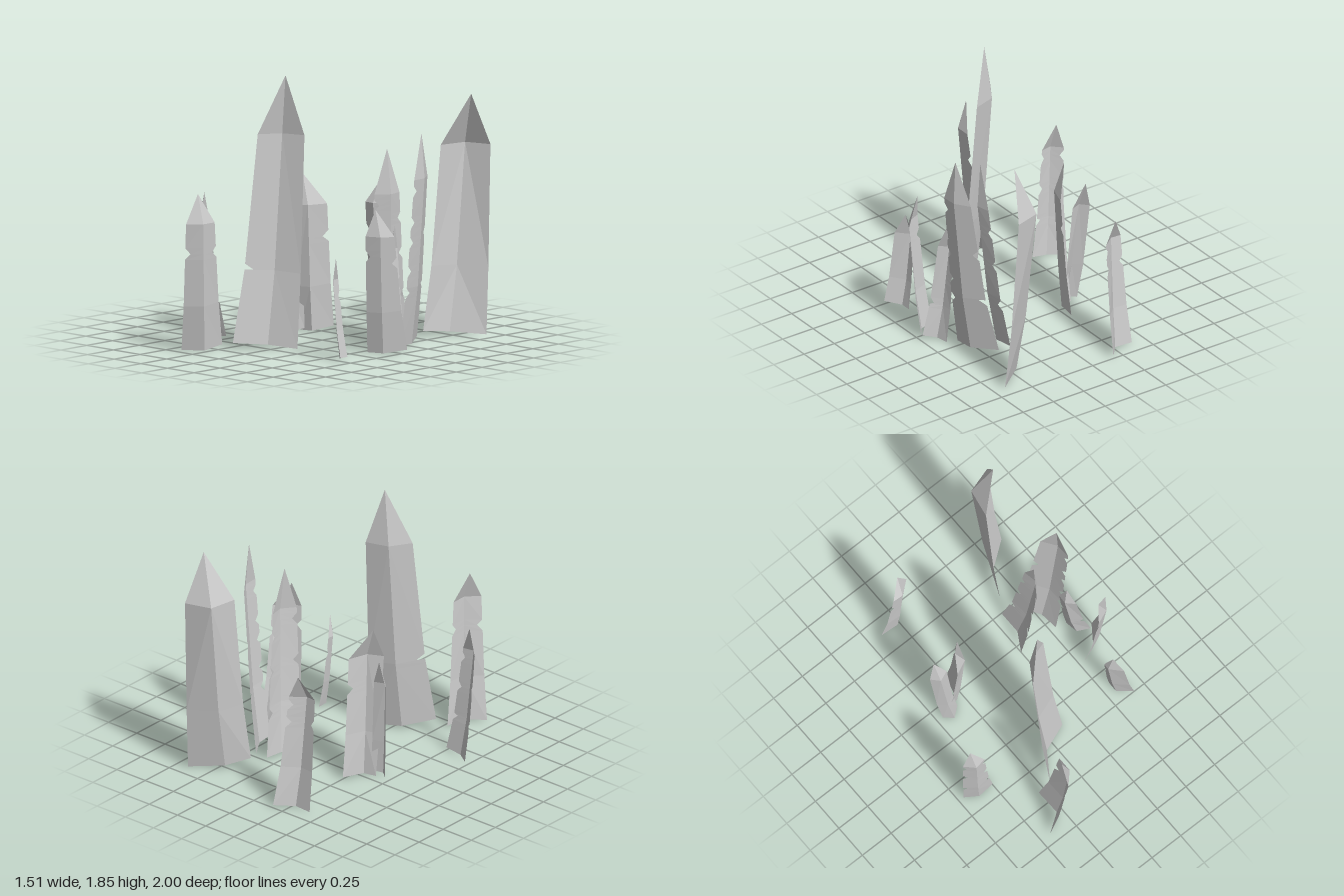
import * as THREE from 'three';

const material = new THREE.MeshStandardMaterial({ color: 0xcccccc, flatShading: true, side: THREE.DoubleSide });

// Blades lean fastest near the ground, then straighten above a soft bend
const BEND = 0.35;
const lean = (t) => (t < BEND ? (t / BEND) * 0.47 : 0.47 + ((t - BEND) / (1 - BEND)) * 0.53);

// One folded blade: two panels meeting at a spine, closed by a pointed tip.
// base and shoulder list [x, z] for one edge, the spine and the other edge.
// baseY gives the ground heights of those three; notches are heights of nicks in each edge.
function blade(name, { base, baseY = [0.01, 0.01, 0.03], shoulder, shoulderY, tip, notches = [[], []] }) {
  const at = (k, t) => {
    const f = lean(t);
    return new THREE.Vector3(
      THREE.MathUtils.lerp(base[k][0], shoulder[k][0], f),
      THREE.MathUtils.lerp(baseY[k], shoulderY, t),
      THREE.MathUtils.lerp(base[k][1], shoulder[k][1], f)
    );
  };
  const top = new THREE.Vector3(...tip);
  const positions = [];
  const tri = (a, b, c, flip) => (flip ? [a, c, b] : [a, b, c]).forEach((p) => positions.push(p.x, p.y, p.z));

  [0, 2].forEach((k, side) => {
    // rows of [height fraction, inset toward the spine]
    const rows = [[0, 0], [BEND, 0], [1, 0]];
    for (const y of notches[side]) {
      const t = y / shoulderY, d = 0.04 / shoulderY;
      rows.push([t - d, 0], [t, 0.3], [t + d, 0]);
    }
    rows.sort((a, b) => a[0] - b[0]);
    const edge = rows.map(([t, inset]) => at(k, t).lerp(at(1, t), inset));
    const spine = rows.map(([t]) => at(1, t));
    const flip = side === 1;
    for (let i = 0; i < rows.length - 1; i++) {
      tri(edge[i], spine[i], spine[i + 1], flip);
      tri(edge[i], spine[i + 1], edge[i + 1], flip);
    }
    tri(edge[edge.length - 1], spine[spine.length - 1], top, flip);
  });

  const geometry = new THREE.BufferGeometry();
  geometry.setAttribute('position', new THREE.Float32BufferAttribute(positions, 3));
  geometry.computeVertexNormals();
  const mesh = new THREE.Mesh(geometry, material);
  mesh.name = name;
  return mesh;
}

export function createModel() {
  const group = new THREE.Group();
  group.name = 'grassClump';
  group.add(
    // the two tall blades
    blade('tallFrontBlade', {
      base: [[-0.2, 0.66], [-0.065, 0.46], [0.135, 0.38]], baseY: [0.05, 0.03, 0.015],
      shoulder: [[-0.175, 0.445], [-0.085, 0.3], [0.075, 0.25]], shoulderY: 1.455,
      tip: [-0.035, 1.86, 0.32], notches: [[0.51], []],
    }),
    blade('tallBackBlade', {
      base: [[0.38, -0.585], [0.46, -0.76], [0.66, -0.91]], baseY: [0.045, 0.03, 0.015],
      shoulder: [[0.39, -0.745], [0.425, -0.945], [0.61, -1.0]], shoulderY: 1.3,
      tip: [0.555, 1.655, -0.87],
    }),
    // middle blades on the left side
    blade('leftBackBlade', {
      base: [[0.545, -0.19], [0.53, -0.32], [0.415, -0.49]],
      shoulder: [[0.665, -0.205], [0.66, -0.31], [0.59, -0.41]], shoulderY: 1.16,
      tip: [0.64, 1.47, -0.3], notches: [[0.37, 0.52, 0.72, 0.86, 1.08], [0.4, 0.76]],
    }),
    blade('leftInnerBlade', {
      base: [[0.25, -0.2], [0.325, -0.33], [0.32, -0.49]],
      shoulder: [[0.345, -0.15], [0.415, -0.24], [0.395, -0.34]], shoulderY: 1.03,
      tip: [0.385, 1.34, -0.23], notches: [[0.36, 0.65, 0.95], [0.3, 0.6, 0.85]],
    }),
    blade('leftOuterBlade', {
      base: [[0.54, 0.12], [0.65, 0.08], [0.745, -0.055]],
      shoulder: [[0.6, 0.2], [0.7, 0.16], [0.755, 0.08]], shoulderY: 0.82,
      tip: [0.64, 1.0, 0.145], notches: [[0.68], [0.63]],
    }),
    // short blades on the left side
    blade('leftShortBlade', {
      base: [[0.62, -0.17], [0.635, -0.08], [0.72, -0.03]],
      shoulder: [[0.55, -0.16], [0.545, -0.095], [0.6, -0.04]], shoulderY: 0.69,
      tip: [0.575, 0.855, -0.11], notches: [[0.45], [0.25]],
    }),
    blade('leftFrontShortBlade', {
      base: [[0.57, 0.345], [0.57, 0.42], [0.66, 0.505]],
      shoulder: [[0.508, 0.37], [0.505, 0.415], [0.58, 0.495]], shoulderY: 0.54,
      tip: [0.54, 0.695, 0.425], notches: [[0.42], []],
    }),
    // blades on the right side
    blade('rightFrontBlade', {
      base: [[-0.42, 0.93], [-0.29, 0.84], [-0.3, 0.66]],
      shoulder: [[-0.315, 0.995], [-0.235, 0.91], [-0.235, 0.8]], shoulderY: 0.89,
      tip: [-0.295, 1.09, 0.9], notches: [[0.68], [0.68]],
    }),
    blade('rightOuterBlade', {
      base: [[-0.71, 0.36], [-0.62, 0.42], [-0.5, 0.415]],
      shoulder: [[-0.755, 0.41], [-0.69, 0.475], [-0.61, 0.46]], shoulderY: 0.8,
      tip: [-0.7, 0.99, 0.42], notches: [[0.26, 0.53, 0.74], [0.27, 0.5, 0.73]],
    }),
    blade('rightMiddleBlade', {
      base: [[-0.455, -0.17], [-0.395, -0.12], [-0.33, -0.17]],
      shoulder: [[-0.515, -0.235], [-0.465, -0.18], [-0.39, -0.21]], shoulderY: 0.73,
      tip: [-0.47, 0.92, -0.25],
    }),
    blade('rightInnerBlade', {
      base: [[-0.39, -0.19], [-0.3, -0.21], [-0.26, -0.38]],
      shoulder: [[-0.385, -0.1], [-0.28, -0.15], [-0.235, -0.29]], shoulderY: 0.88,
      tip: [-0.35, 1.09, -0.17], notches: [[], [0.65]],
    }),
    blade('rightBackBlade', {
      base: [[-0.4, -0.89], [-0.27, -0.88], [-0.17, -1.0]],
      shoulder: [[-0.37, -0.8], [-0.295, -0.795], [-0.2, -0.87]], shoulderY: 0.81,
      tip: [-0.28, 0.98, -0.87], notches: [[0.62], [0.62, 0.75]],
    })
  );
  return group;
}
